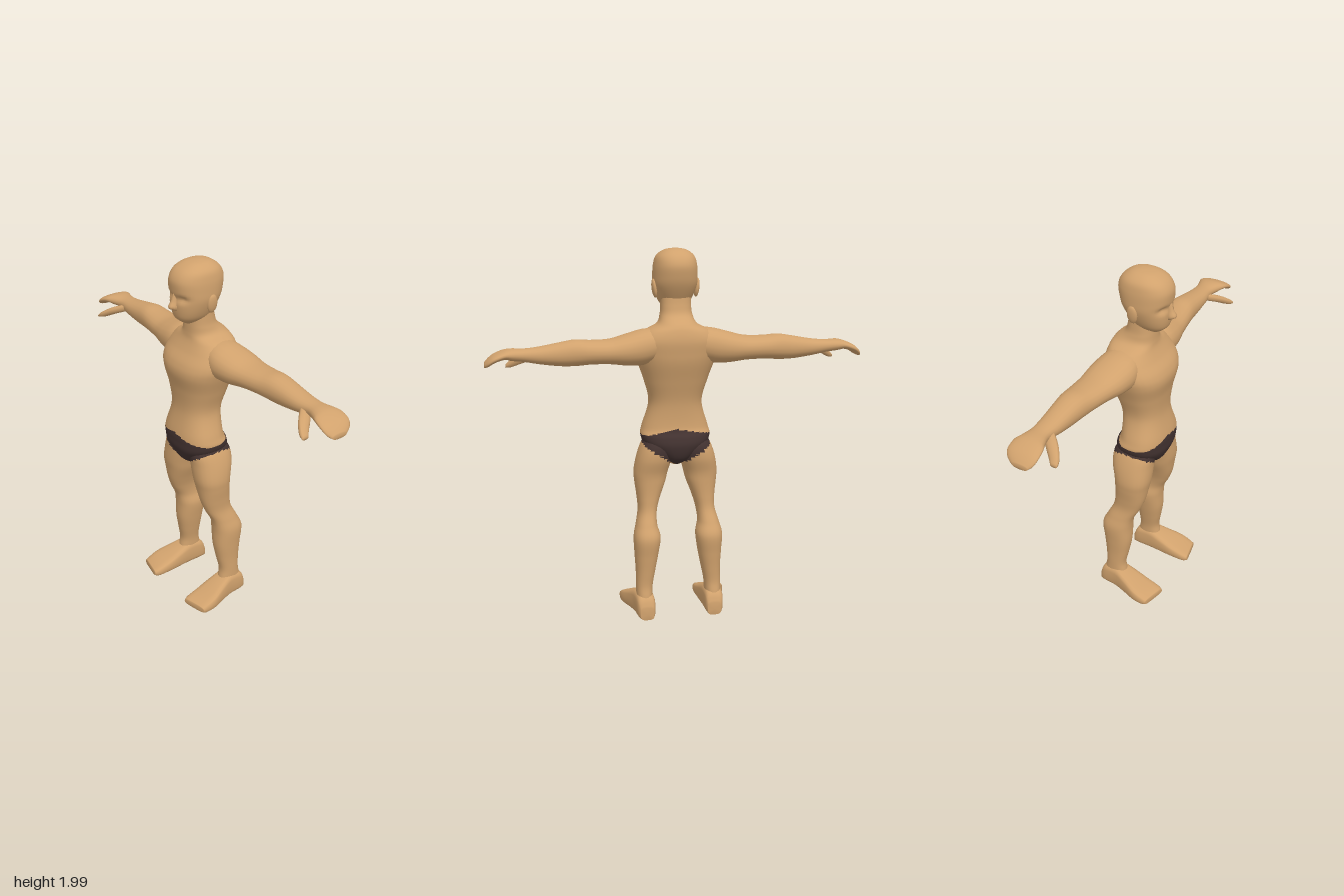
import * as THREE from 'three';

const skin = new THREE.MeshStandardMaterial({ color: 0xd1a26d });
skin.name = 'skin';
const cloth = new THREE.MeshStandardMaterial({ color: 0x423230 });
cloth.name = 'dark cloth';

// Smooth interpolation through rows of numbers
function refine(keys, steps) {
  const rows = [];
  const at = (i) => keys[Math.min(Math.max(i, 0), keys.length - 1)];
  for (let i = 0; i < keys.length - 1; i++) {
    for (let s = 0; s < steps; s++) {
      const f = s / steps;
      rows.push(keys[i].map((b, k) => {
        const a = at(i - 1)[k], c = at(i + 1)[k], d = at(i + 2)[k];
        return b + 0.5 * f * (c - a + f * (2 * a - 5 * b + 4 * c - d + f * (3 * (b - c) + d - a)));
      }));
    }
  }
  rows.push(at(keys.length));
  return rows;
}

// Axis order [u, v, along] as indices into x, y, z (right-handed)
const AXES = { x: [1, 2, 0], y: [2, 0, 1], z: [0, 1, 2] };

// Region covered by the briefs: a V below and a shallow peak above
function inBriefs(p) {
  const u = Math.abs(p.x) / 0.19;
  return p.y < 1.05 - 0.045 * u && p.y > 0.835 + 0.13 * Math.min(u, 1);
}

// Closed skin over sections [t, u0, u1, v0, v1] along an axis
function loft(name, axis, keys, { n = 2.3, sides = 20, steps = 4, mirror = 1, warp, briefs = false } = {}) {
  const rows = refine(keys, steps);
  const pts = [];
  const add = (u, v, t) => {
    const a = [];
    [u, v, t].forEach((value, i) => { a[AXES[axis][i]] = value; });
    const p = new THREE.Vector3(...a);
    if (warp) warp(p);
    p.x *= mirror;
    pts.push(p);
  };
  const bend = (c) => Math.sign(c) * Math.pow(Math.abs(c), 2 / n);
  for (const [t, u0, u1, v0, v1] of rows) {
    for (let j = 0; j < sides; j++) {
      const a = (j / sides) * Math.PI * 2;
      add((u0 + u1) / 2 + bend(Math.cos(a)) * (u1 - u0) / 2,
        (v0 + v1) / 2 + bend(Math.sin(a)) * (v1 - v0) / 2, t);
    }
  }
  const last = rows.length - 1;
  for (const r of [rows[0], rows[last]]) add((r[1] + r[2]) / 2, (r[3] + r[4]) / 2, r[0]);

  const lists = [[], []];
  const face = (a, b, c) => {
    const mid = pts[a].clone().add(pts[b]).add(pts[c]).divideScalar(3);
    lists[briefs && inBriefs(mid) ? 1 : 0].push(a, ...(mirror > 0 ? [b, c] : [c, b]));
  };
  const bottom = rows.length * sides;
  for (let j = 0; j < sides; j++) {
    const k = (j + 1) % sides;
    for (let i = 0; i < last; i++) {
      const a = i * sides + j, b = i * sides + k;
      face(a, b, b + sides);
      face(a, b + sides, a + sides);
    }
    face(bottom, k, j);
    face(bottom + 1, last * sides + j, last * sides + k);
  }
  const geo = new THREE.BufferGeometry().setFromPoints(pts);
  geo.setIndex([...lists[0], ...lists[1]]);
  geo.addGroup(0, lists[0].length, 0);
  geo.addGroup(lists[0].length, lists[1].length, 1);
  geo.computeVertexNormals();
  const mesh = new THREE.Mesh(geo, briefs ? [skin, cloth] : skin);
  mesh.name = name;
  return mesh;
}

// Sections symmetric in x: [y, back, front, half width]
const symmetric = (rows) => rows.map(([y, back, front, w]) => [y, back, front, -w, w]);

const TORSO = symmetric([
  [0.84, -0.05, 0.05, 0.03], [0.88, -0.115, 0.1, 0.08], [0.95, -0.14, 0.135, 0.165],
  [1.0, -0.132, 0.14, 0.188], [1.05, -0.108, 0.137, 0.178], [1.18, -0.11, 0.112, 0.143],
  [1.3, -0.14, 0.12, 0.17], [1.4, -0.17, 0.14, 0.205], [1.46, -0.18, 0.128, 0.22],
  [1.52, -0.185, 0.09, 0.212], [1.57, -0.175, 0.065, 0.17], [1.605, -0.155, 0.058, 0.105],
  [1.65, -0.105, 0.055, 0.085], [1.7, -0.088, 0.052, 0.08], [1.76, -0.08, 0.05, 0.08],
]);
const HEAD = symmetric([
  [1.672, 0.02, 0.085, 0.035], [1.7, -0.055, 0.12, 0.072], [1.74, -0.085, 0.133, 0.095],
  [1.8, -0.118, 0.138, 0.114], [1.85, -0.134, 0.143, 0.116], [1.905, -0.14, 0.143, 0.112],
  [1.95, -0.118, 0.115, 0.098], [1.98, -0.075, 0.06, 0.06], [1.99, -0.03, 0.0, 0.015],
]);
const NOSE = symmetric([
  [1.75, 0.11, 0.14, 0.017], [1.77, 0.11, 0.172, 0.022], [1.8, 0.11, 0.156, 0.015], [1.84, 0.11, 0.142, 0.01],
]);
const ARM = [
  [0.08, 1.43, 1.585, -0.155, 0.03], [0.18, 1.395, 1.58, -0.175, 0.055], [0.27, 1.395, 1.558, -0.185, 0.045],
  [0.36, 1.407, 1.536, -0.18, 0.02], [0.46, 1.41, 1.534, -0.177, 0.0], [0.54, 1.405, 1.54, -0.172, -0.015],
  [0.62, 1.407, 1.528, -0.165, -0.025], [0.72, 1.42, 1.51, -0.155, -0.035], [0.8, 1.435, 1.502, -0.148, -0.045],
  [0.86, 1.442, 1.503, -0.158, -0.025], [0.9, 1.45, 1.497, -0.17, -0.006], [0.95, 1.435, 1.477, -0.172, 0.0],
  [0.98, 1.415, 1.455, -0.152, -0.01], [1.0, 1.407, 1.433, -0.115, -0.03],
];
const THUMB = [
  [0.75, 1.44, 1.48, -0.1, -0.05], [0.81, 1.415, 1.46, -0.065, 0.015],
  [0.86, 1.39, 1.43, -0.012, 0.05], [0.89, 1.385, 1.402, 0.018, 0.055],
];
const LEG = [
  [0.05, -0.165, -0.01, 0.15, 0.235], [0.12, -0.155, -0.022, 0.148, 0.235], [0.18, -0.145, -0.03, 0.145, 0.235],
  [0.26, -0.15, -0.015, 0.13, 0.235], [0.35, -0.16, 0.0, 0.113, 0.24], [0.45, -0.17, 0.003, 0.1, 0.244],
  [0.52, -0.14, 0.015, 0.115, 0.228], [0.59, -0.108, 0.05, 0.11, 0.212], [0.66, -0.1, 0.075, 0.09, 0.215],
  [0.74, -0.1, 0.09, 0.06, 0.225], [0.8, -0.105, 0.1, 0.045, 0.228], [0.88, -0.125, 0.102, 0.022, 0.214],
  [0.95, -0.122, 0.1, 0.015, 0.19], [1.0, -0.08, 0.06, 0.04, 0.16],
];
const FOOT = [
  [-0.178, 0.15, 0.225, 0.0, 0.07], [-0.15, 0.14, 0.24, 0.0, 0.125], [-0.07, 0.138, 0.25, 0.0, 0.14],
  [0.0, 0.135, 0.27, 0.0, 0.118], [0.08, 0.133, 0.295, 0.0, 0.085], [0.15, 0.138, 0.295, 0.0, 0.058],
  [0.178, 0.15, 0.29, 0.012, 0.045],
];

// Eye sockets pressed into the front of the face
function sockets(p) {
  if (p.z < 0.05) return;
  const dx = (Math.abs(p.x) - 0.048) / 0.03, dy = (p.y - 1.815) / 0.018;
  p.z -= 0.02 * Math.exp(-dx * dx - dy * dy);
}

// Toes cut at a slant, the inner side reaching further forward
function slantToes(p) {
  if (p.z > 0.1) p.z += (0.22 - p.x) * 0.22 * (p.z - 0.1) / 0.08;
}

export function createModel() {
  const model = new THREE.Group();
  model.name = 'figure';
  model.add(loft('torso', 'y', TORSO, { n: 2.4, sides: 32, steps: 8, briefs: true }));

  const head = new THREE.Group();
  head.name = 'head';
  head.add(loft('skull', 'y', HEAD, { n: 2.3, sides: 36, steps: 6, warp: sockets }));
  head.add(loft('nose', 'y', NOSE, { n: 2, sides: 10 }));
  model.add(head);

  for (const [side, mirror] of [['left', 1], ['right', -1]]) {
    // Ear
    const ear = new THREE.Mesh(new THREE.SphereGeometry(1, 12, 8), skin);
    ear.name = side + 'Ear';
    ear.scale.set(0.014, 0.05, 0.03);
    ear.position.set(mirror * 0.113, 1.785, -0.015);
    ear.rotation.z = -mirror * 0.12;
    head.add(ear);

    // Arm and hand
    const arm = new THREE.Group();
    arm.name = side + 'Arm';
    arm.add(loft(side + 'ArmAndHand', 'x', ARM, { mirror, n: 2.2 }));
    arm.add(loft(side + 'Thumb', 'x', THUMB, { mirror, sides: 10 }));
    model.add(arm);

    // Leg and foot
    const leg = new THREE.Group();
    leg.name = side + 'Leg';
    leg.add(loft(side + 'ThighAndCalf', 'y', LEG, { mirror, n: 2.3, sides: 24, steps: 8, briefs: true }));
    leg.add(loft(side + 'Foot', 'z', FOOT, { mirror, n: 3.5, warp: slantToes }));
    model.add(leg);
  }
  return model;
}
